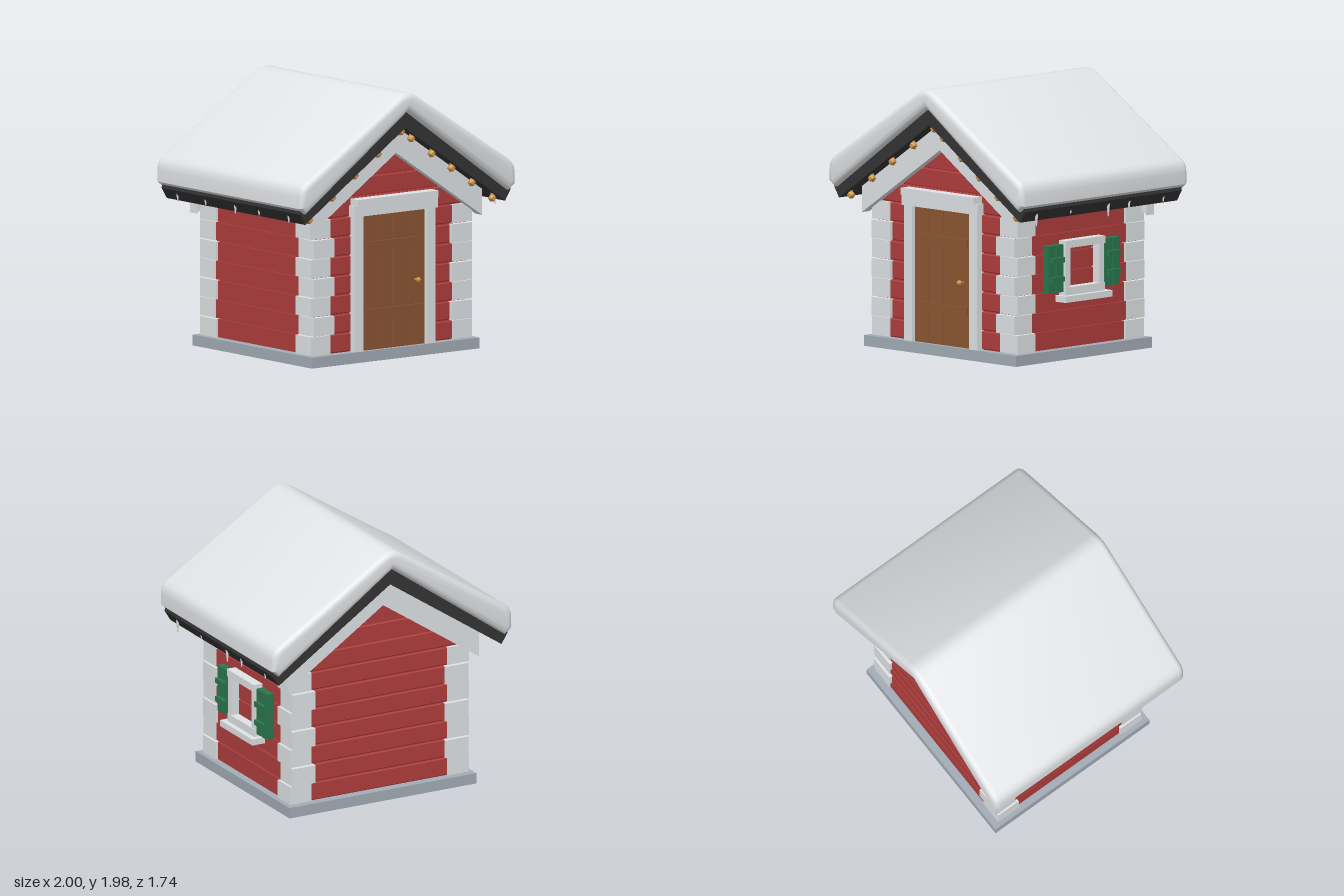
import * as THREE from 'three';
import { toCreasedNormals } from 'three/addons/utils/BufferGeometryUtils.js';

const mat = (name, color, flat = false) => {
  const m = new THREE.MeshStandardMaterial({ color, flatShading: flat });
  m.name = name;
  return m;
};

export function createModel() {
  const root = new THREE.Group();
  root.name = 'snowyCabin';
  const red = mat('wall red', 0xb03d3d);
  const white = mat('trim white', 0xe0e4e6);
  const snow = mat('snow white', 0xeaecef);
  const black = mat('roof black', 0x343434);
  const stone = mat('foundation grey', 0xa3acb6);
  const brown = mat('door brown', 0x8a5633);
  const green = mat('shutter green', 0x2a774e);
  const gold = mat('bulb gold', 0xcf9447, true);

  const group = (name) => {
    const g = new THREE.Group();
    g.name = name;
    root.add(g);
    return g;
  };
  const add = (parent, name, geo, m) => {
    const mesh = new THREE.Mesh(geo, m);
    mesh.name = name;
    parent.add(mesh);
    return mesh;
  };
  // Box given by its limits on each axis
  const box = (parent, name, m, x0, x1, y0, y1, z0, z1) => {
    const mesh = add(parent, name, new THREE.BoxGeometry(x1 - x0, y1 - y0, z1 - z0), m);
    mesh.position.set((x0 + x1) / 2, (y0 + y1) / 2, (z0 + z1) / 2);
    return mesh;
  };
  // Outline extruded from z0 to z1, with an optional bevel kept inside the outline
  const slab = (parent, name, m, shape, z0, z1, bevel = 0, segments = 1) => {
    const geo = new THREE.ExtrudeGeometry(shape, {
      depth: z1 - z0 - 2 * bevel, bevelEnabled: bevel > 0, bevelSize: bevel, bevelThickness: bevel,
      bevelOffset: -bevel, bevelSegments: segments, curveSegments: 3,
    });
    geo.translate(0, 0, z0 + bevel);
    return add(parent, name, segments > 1 ? toCreasedNormals(geo, 0.6) : geo, m);
  };
  const poly = (pts) => new THREE.Shape(pts.map(([x, y]) => new THREE.Vector2(x, y)));
  // Outline symmetric about x = 0: lower right side points, then upper right side points
  const chevron = (lower, upper) => {
    const right = [...lower, ...upper];
    const left = right.slice(1, -1).reverse().map(([x, y]) => [-x, y]);
    return poly([...right, ...left]);
  };

  box(root, 'foundation', stone, -0.78, 0.78, 0, 0.08, -0.705, 0.705);

  // Walls: inner core with one plank course per row, narrowing into the gable
  const walls = group('walls');
  const pitch = 0.1428;
  slab(walls, 'wallCore', red,
    poly([[-0.71, 0.08], [0.71, 0.08], [0.71, 1.2], [0, 1.7], [-0.71, 1.2]]), -0.632, 0.632);
  const halfWidth = (y) => Math.min(0.728, Math.max(0.02, (1.75 - y) / 0.68));
  for (let i = 0; i < 11; i++) {
    const y0 = 0.08 + i * pitch + 0.005, y1 = y0 + pitch - 0.01;
    const a = halfWidth(y0), b = halfWidth(y1);
    slab(walls, 'wallPlank', red, poly([[-a, y0], [a, y0], [b, y1], [-b, y1]]), -0.648, 0.648, 0.006);
  }

  // Corner blocks alternate in length from row to row
  const corners = group('cornerBlocks');
  for (let i = 0; i < 7; i++) {
    const odd = i % 2 === 1;
    const [xi, xo, zi, zo] = odd ? [0.545, 0.735, 0.49, 0.672] : [0.567, 0.747, 0.467, 0.655];
    const y0 = 0.08 + i * pitch + 0.003, y1 = y0 + pitch - 0.006;
    for (const sx of [-1, 1]) for (const sz of [-1, 1]) {
      const b = box(corners, 'cornerBlock', white, xi, xo, y0, y1, zi, zo);
      b.position.x *= sx;
      b.position.z *= sz;
    }
  }

  // Gable boards on the front and back
  const gable = () => chevron([[0, 1.52], [0.8, 0.985]], [[0.8, 1.2], [0, 1.74]]);
  slab(root, 'frontGableBoard', white, gable(), 0.63, 0.708);
  slab(root, 'backGableBoard', white, gable(), -0.708, -0.63);

  // Roof deck
  slab(root, 'roof', black,
    chevron([[0, 1.715], [0.93, 1.09]], [[0.98, 1.17], [0.97, 1.215], [0, 1.87]]), -0.815, 0.815);

  // Thick rounded snow cover
  const s = new THREE.Shape();
  s.moveTo(0, 1.84);
  s.lineTo(0.945, 1.17);
  s.lineTo(1, 1.215);
  s.lineTo(1, 1.3);
  s.quadraticCurveTo(1, 1.37, 0.95, 1.4);
  s.lineTo(0.08, 1.955);
  s.quadraticCurveTo(0, 2.005, -0.08, 1.955);
  s.lineTo(-0.95, 1.4);
  s.quadraticCurveTo(-1, 1.37, -1, 1.3);
  s.lineTo(-1, 1.215);
  s.lineTo(-0.945, 1.17);
  slab(root, 'snowCover', snow, s, -0.868, 0.868, 0.045, 4);

  // Icicles under both eaves: z and tip height
  const icicles = group('icicles');
  const rows = { 1: [[0.665, 1.05], [0.31, 1.11], [-0.08, 1.05], [-0.295, 1.08], [-0.65, 1.1]],
    '-1': [[0.65, 1.09], [0.3, 1.1], [0.02, 1.08], [-0.33, 1.1], [-0.66, 1.09]] };
  for (const side of [1, -1]) for (const [z, tip] of rows[side]) {
    const h = 1.2 - tip;
    const cone = add(icicles, 'icicle', new THREE.CylinderGeometry(0.02, 0.004, h, 7), snow);
    cone.position.set(side * 0.952, tip + h / 2, z);
  }

  // Door with planks, battens and knob
  const door = group('door');
  for (let i = 0; i < 4; i++) {
    const x = -0.295 + i * 0.1475;
    box(door, 'doorPlank', brown, x + 0.003, x + 0.1445, 0.08, 1.08, 0.62, 0.672);
  }
  for (const y of [0.32, 0.82]) box(door, 'doorBatten', brown, -0.255, 0.255, y, y + 0.062, 0.66, 0.686);
  const stem = add(door, 'knobStem', new THREE.CylinderGeometry(0.008, 0.008, 0.04, 8), gold);
  stem.rotation.x = Math.PI / 2;
  stem.position.set(0.205, 0.563, 0.69);
  add(door, 'knob', new THREE.SphereGeometry(0.02, 8, 6), gold).position.set(0.205, 0.563, 0.712);

  const frame = group('doorFrame');
  for (const x of [-0.375, 0.295]) box(frame, 'doorPost', white, x, x + 0.08, 0.08, 1.08, 0.62, 0.7);
  box(frame, 'doorLintel', white, -0.39, 0.39, 1.08, 1.16, 0.62, 0.71);
  box(frame, 'lintelCap', white, -0.375, 0.375, 1.16, 1.21, 0.62, 0.735);

  // Window frame and sill on the left wall
  const win = group('window');
  box(win, 'windowHead', white, 0.71, 0.8, 0.825, 0.88, -0.203, 0.203);
  box(win, 'windowFoot', white, 0.71, 0.795, 0.475, 0.535, -0.203, 0.203);
  box(win, 'windowSill', white, 0.71, 0.835, 0.43, 0.477, -0.243, 0.243);
  for (const z of [-0.2, 0.15]) box(win, 'windowJamb', white, 0.71, 0.79, 0.53, 0.83, z, z + 0.05);

  // Plank shutters either side of the window
  for (const side of [-1, 1]) {
    const shutter = group('shutter');
    shutter.position.z = side * 0.2925;
    for (const z of [-0.0775, 0.005]) box(shutter, 'shutterPlank', green, 0.715, 0.785, 0.505, 0.855, z, z + 0.0725);
    for (const y of [0.585, 0.727]) box(shutter, 'shutterBatten', green, 0.74, 0.812, y, y + 0.038, -0.065, 0.065);
  }

  // String of faceted bulbs along the front gable
  const bulbs = group('lightBulbs');
  for (const [x, y] of [[0, 1.69], [0.095, 1.63], [0.285, 1.5], [0.47, 1.375], [0.66, 1.25], [0.85, 1.117],
    [-0.215, 1.545], [-0.43, 1.405], [-0.64, 1.262], [-0.855, 1.117]]) {
    const bulb = add(bulbs, 'bulb', new THREE.IcosahedronGeometry(0.032, 0), gold);
    bulb.position.set(x, y - 0.005, 0.765);
    const cap = add(bulbs, 'bulbCap', new THREE.CylinderGeometry(0.013, 0.016, 0.03, 6), gold);
    cap.position.set(x, y + 0.024, 0.765);
  }
  return root;
}
